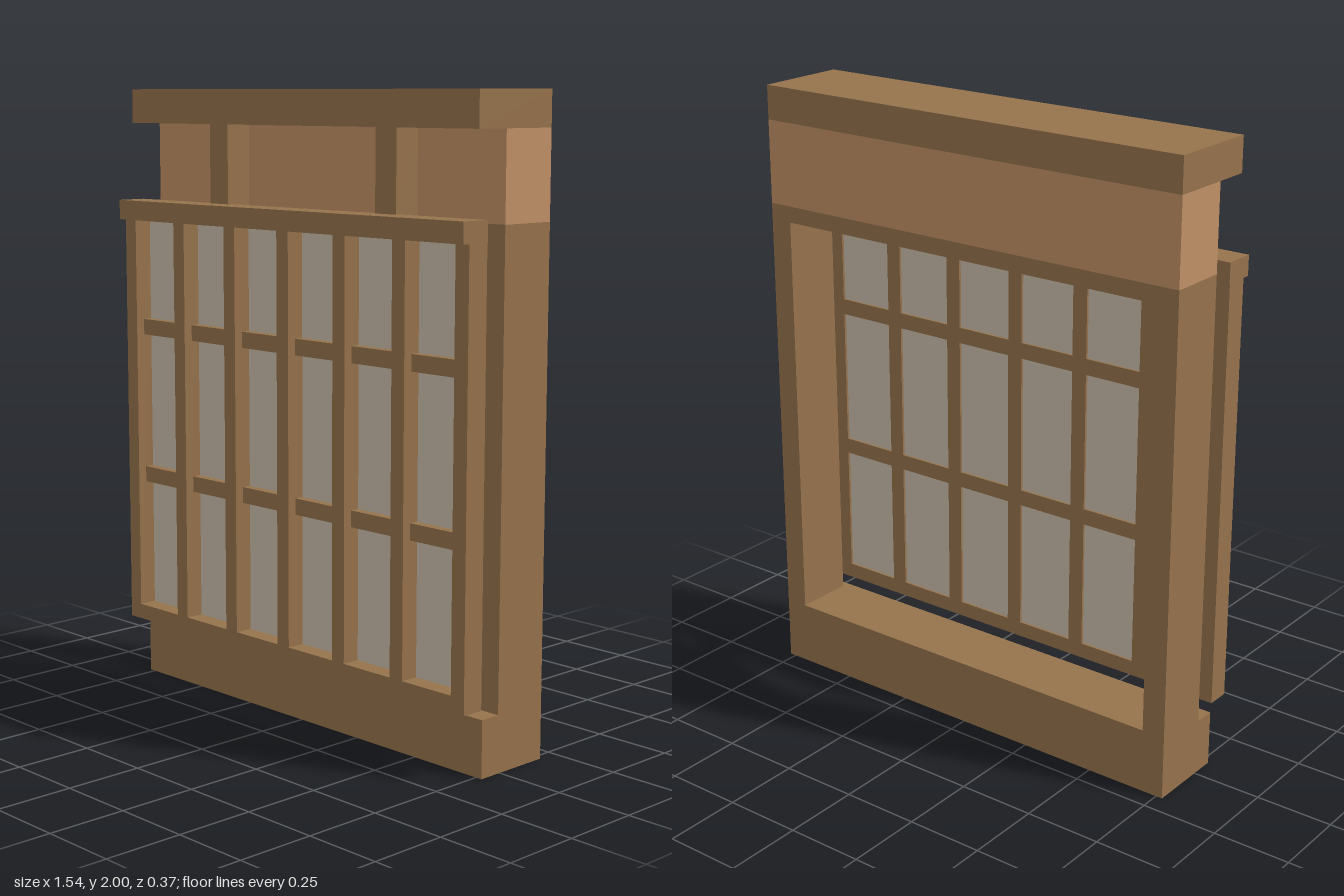
import * as THREE from 'three';

const wood = new THREE.MeshStandardMaterial({ color: 0x96724c });
wood.name = 'wood';
const paleWood = new THREE.MeshStandardMaterial({ color: 0xc19066 });
paleWood.name = 'paleWood';
const paper = new THREE.MeshStandardMaterial({ color: 0xcabeac });
paper.name = 'paper';

// Box given by its limits on each axis
function box(name, material, [x0, x1], [y0, y1], [z0, z1]) {
  const mesh = new THREE.Mesh(new THREE.BoxGeometry(x1 - x0, y1 - y0, z1 - z0), material);
  mesh.position.set((x0 + x1) / 2, (y0 + y1) / 2, (z0 + z1) / 2);
  mesh.name = name;
  return mesh;
}

function rectangle(PathType, x, y0, y1) {
  const path = new PathType();
  path.moveTo(-x, y0);
  path.lineTo(x, y0);
  path.lineTo(x, y1);
  path.lineTo(-x, y1);
  path.closePath();
  return path;
}

export function createModel() {
  const model = new THREE.Group();
  model.name = 'latticeWindow';
  const W = 0.772, BACK = -0.185, FACE = 0.01;
  const full = [-W, W];

  // Wall frame with a deep opening
  const outline = rectangle(THREE.Shape, W, 0, 1.62);
  outline.holes.push(rectangle(THREE.Path, 0.695, 0.21, 1.567));
  const wall = new THREE.Mesh(
    new THREE.ExtrudeGeometry(outline, { depth: FACE - BACK, bevelEnabled: false }), wood);
  wall.position.z = BACK;
  wall.name = 'wallFrame';
  model.add(wall);

  // Sill, upper panel and top beam
  model.add(
    box('sill', wood, full, [0, 0.18], [FACE, 0.08]),
    box('upperPanel', paleWood, full, [1.62, 1.89], [BACK, FACE]),
    box('topBeam', wood, full, [1.89, 2], [BACK, 0.125]));

  // Short posts between the lattice and the beam
  for (const x of [-0.363, 0.385]) {
    model.add(box('post', wood, [x - 0.043, x + 0.043], [1.62, 1.89], [FACE, 0.1]));
  }

  // Lattice screen standing in front of the wall
  const lattice = new THREE.Group();
  lattice.name = 'lattice';
  const Z = [0.085, 0.16], half = 0.026, step = (W - half) / 3;
  lattice.add(
    box('topRail', wood, full, [1.573, 1.637], [0.083, 0.185]),
    box('bottomRail', wood, full, [0.21, 0.26], Z));
  for (let i = -3; i <= 3; i++) {
    const x = i * step;
    lattice.add(box('upright', wood, [x - half, x + half], [0.26, 1.573], Z));
    if (i === 3) continue;
    const bay = [x + half, x + step - half];
    // Crossbars sit back from the upright faces
    for (const y of [0.71, 1.213]) {
      lattice.add(box('crossbar', wood, bay, [y - half, y + half], [0.085, 0.13]));
    }
    lattice.add(box('pane', paper, bay, [0.26, 1.573], [0.093, 0.1]));
  }
  model.add(lattice);
  return model;
}
